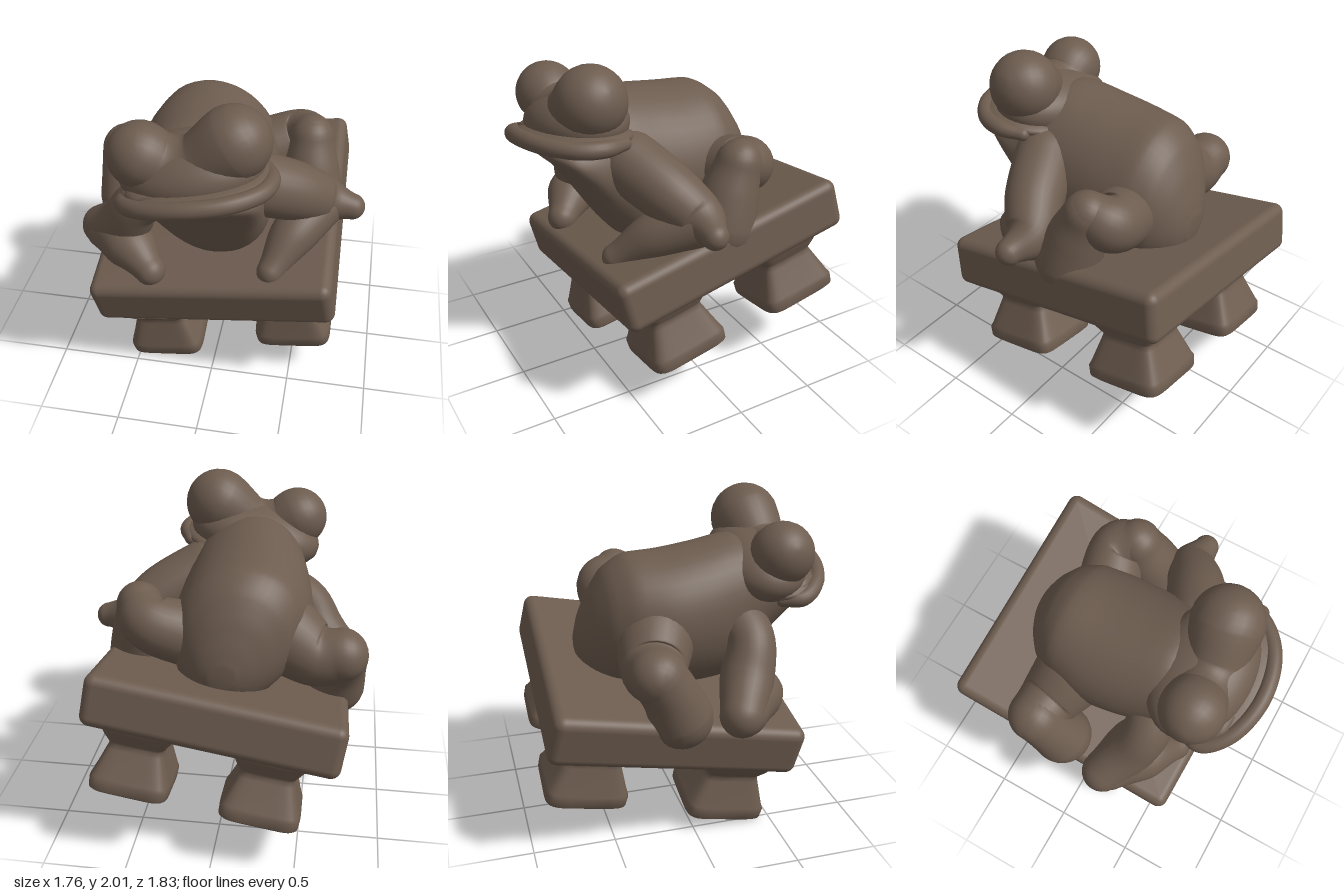
import * as THREE from 'three';
import { RoundedBoxGeometry } from 'three/addons/geometries/RoundedBoxGeometry.js';

const bronze = new THREE.MeshStandardMaterial({ color: 0x6d5c4f });
bronze.name = 'bronze brown';

const V = (x, y, z) => new THREE.Vector3(x, y, z);

function add(parent, name, geometry) {
  const mesh = new THREE.Mesh(geometry, bronze);
  mesh.name = name;
  parent.add(mesh);
  return mesh;
}

// Closed skin over equal rings, each counter-clockwise about the path direction
function loft(rings) {
  const n = rings[0].length, last = (rings.length - 1) * n;
  const points = rings.flat(), index = [];
  const centre = ring => ring.reduce((sum, p) => sum.add(p), V(0, 0, 0)).divideScalar(n);
  points.push(centre(rings[0]), centre(rings[rings.length - 1]));
  for (let j = 0; j < n; j++) {
    const k = (j + 1) % n;
    for (let o = 0; o < last; o += n) index.push(o + j, o + k, o + n + k, o + j, o + n + k, o + n + j);
    index.push(last + n, k, j, last + n + 1, last + j, last + k);
  }
  const geometry = new THREE.BufferGeometry().setFromPoints(points);
  geometry.setIndex(index);
  geometry.computeVertexNormals();
  return geometry;
}

// Tapered tube with domed ends through [x, y, z, radius] stations
function limb(stations, steps = 24, sides = 28) {
  const path = new THREE.CatmullRomCurve3(stations.map(s => V(s[0], s[1], s[2])));
  const radii = new THREE.SplineCurve(stations.map((s, i) => new THREE.Vector2(i, s[3])));
  const frames = path.computeFrenetFrames(steps);
  const rings = [];
  const ring = (i, dome) => {
    const r = radii.getPoint(path.getUtoTmapping(i / steps)).y;
    const c = path.getPointAt(i / steps).addScaledVector(frames.tangents[i], r * Math.sin(dome));
    rings.push(Array.from({ length: sides }, (_, j) => {
      const a = j / sides * Math.PI * 2, q = r * Math.cos(dome);
      return c.clone().addScaledVector(frames.normals[i], q * Math.cos(a))
        .addScaledVector(frames.binormals[i], q * Math.sin(a));
    }));
  };
  for (let d = -7; d < 0; d++) ring(0, d * Math.PI / 15);
  for (let i = 0; i <= steps; i++) ring(i, 0);
  for (let d = 1; d <= 7; d++) ring(steps, d * Math.PI / 15);
  return loft(rings);
}

// Rounded-square pedestal foot: flared base, high waist, flare up into the slab
function footGeometry() {
  const profile = [[-0.59, 0.2], [-0.585, 0.225], [-0.57, 0.24], [-0.515, 0.242], [-0.495, 0.232],
    [-0.33, 0.172], [-0.3, 0.163], [-0.28, 0.175], [-0.24, 0.2], [-0.2, 0.22], [-0.13, 0.26]];
  const soft = v => Math.sign(v) * Math.pow(Math.abs(v), 0.3);
  return loft(profile.map(([y, half]) => Array.from({ length: 48 }, (_, j) => {
    const a = (j + 0.5) / 48 * Math.PI * 2;
    return V(half * soft(Math.cos(a)), y, -half * 1.06 * soft(Math.sin(a)));
  })));
}

// Body from upright cross-sections: z, centre x, half width, bottom, top
function bodyGeometry() {
  const sections = [
    [-0.62, -0.06, 0.07, 1.06, 1.2], [-0.59, -0.06, 0.15, 0.98, 1.31], [-0.53, -0.07, 0.24, 0.9, 1.46],
    [-0.44, -0.08, 0.33, 0.86, 1.6], [-0.31, -0.09, 0.39, 0.84, 1.685], [-0.1, -0.1, 0.42, 0.82, 1.7],
    [0.12, -0.09, 0.41, 0.82, 1.73], [0.3, -0.07, 0.39, 0.83, 1.76], [0.44, -0.06, 0.37, 0.98, 1.73],
    [0.58, -0.06, 0.37, 1.2, 1.64], [0.7, -0.07, 0.35, 1.37, 1.59], [0.79, -0.08, 0.25, 1.46, 1.57],
  ];
  const sizePath = new THREE.CatmullRomCurve3(sections.map(s => V(s[2], s[3], s[4])));
  const centrePath = new THREE.CatmullRomCurve3(sections.map(s => V(s[1], 0, s[0])));
  return loft(Array.from({ length: 45 }, (_, i) => {
    const s = sizePath.getPoint(i / 44), c = centrePath.getPoint(i / 44);
    return Array.from({ length: 40 }, (_, j) => {
      const a = j / 40 * Math.PI * 2;
      const y = (s.y + s.z) / 2 + (s.z - s.y) / 2 * Math.sin(a);
      return V(c.x + s.x * Math.cos(a) - 0.12 * (y - 1.35), y, c.z); // leans with the slab
    });
  }));
}

function createModel() {
  const model = new THREE.Group();
  model.name = 'frogOnFootedSlab';

  // Tilted slab on four feet
  const base = new THREE.Group();
  base.name = 'base';
  base.position.set(0, 0.8, -0.125);
  base.rotation.set(0.205, 0.015, 0.155);
  model.add(base);
  add(base, 'slab', new RoundedBoxGeometry(1.5, 0.315, 1.53, 5, 0.06));
  const foot = footGeometry();
  const feet = {
    frontLeftFoot: [0.425, 0.025, 0.405],
    frontRightFoot: [-0.42, -0.015, 0.47],
    backLeftFoot: [0.425, 0.005, -0.42],
    backRightFoot: [-0.36, 0.005, -0.42],
  };
  for (const [name, place] of Object.entries(feet)) add(base, name, foot).position.set(...place);

  // Frog body and head
  const frog = new THREE.Group();
  frog.name = 'frog';
  model.add(frog);
  add(frog, 'body', bodyGeometry());
  const head = add(frog, 'head', new THREE.SphereGeometry(1, 40, 28));
  head.scale.set(0.42, 0.2, 0.29);
  head.position.set(-0.1, 1.59, 0.51);
  head.rotation.z = 0.2;
  add(frog, 'eyeRidge', limb([[-0.365, 1.69, 0.575, 0.188], [-0.24, 1.635, 0.56, 0.17],
    [-0.07, 1.645, 0.55, 0.172], [0.14, 1.785, 0.52, 0.212]], 36));
  const jaw = add(frog, 'upperJaw', new THREE.SphereGeometry(1, 40, 20));
  jaw.scale.set(0.43, 0.085, 0.34);
  jaw.position.set(-0.06, 1.53, 0.56);
  jaw.rotation.set(-0.08, 0.15, 0.19);
  add(frog, 'lip', limb([[-0.42, 1.42, 0.56, 0.04], [-0.45, 1.43, 0.68, 0.05], [-0.34, 1.49, 0.81, 0.05],
    [-0.1, 1.56, 0.875, 0.05], [0.16, 1.59, 0.82, 0.05], [0.32, 1.59, 0.68, 0.05],
    [0.355, 1.585, 0.54, 0.05], [0.31, 1.57, 0.4, 0.04]], 60, 16));

  // Limbs, posed differently on each side
  const limbs = {
    frontLeftUpperArm: [[0.2, 1.4, 0.32, 0.19], [0.45, 1.28, 0.2, 0.18], [0.64, 1.16, 0.09, 0.145], [0.8, 1.135, 0.1, 0.08]],
    frontLeftForearm: [[0.62, 1.13, 0.1, 0.14], [0.47, 1.03, 0.3, 0.14], [0.36, 0.89, 0.5, 0.08]],
    frontRightUpperArm: [[-0.27, 1.3, 0.32, 0.17], [-0.46, 1.19, 0.36, 0.145], [-0.57, 1.0, 0.3, 0.16], [-0.75, 0.87, 0.21, 0.13]],
    frontRightForearm: [[-0.72, 0.86, 0.24, 0.13], [-0.53, 0.88, 0.38, 0.16], [-0.37, 0.81, 0.52, 0.095]],
    backLeftThigh: [[0.18, 1.22, -0.28, 0.2], [0.44, 1.33, -0.34, 0.17], [0.51, 1.4, -0.25, 0.13]],
    backLeftShin: [[0.51, 1.385, -0.24, 0.14], [0.52, 1.22, -0.18, 0.175], [0.54, 1.02, -0.12, 0.2]],
    backRightThigh: [[-0.33, 1.24, -0.19, 0.24], [-0.56, 1.13, -0.26, 0.19], [-0.7, 1.15, -0.28, 0.16]],
    backRightShin: [[-0.7, 1.15, -0.27, 0.16], [-0.69, 1.03, -0.2, 0.165], [-0.67, 0.87, -0.13, 0.185]],
  };
  for (const [name, stations] of Object.entries(limbs)) add(frog, name, limb(stations));

  return model;
}

export { createModel };
